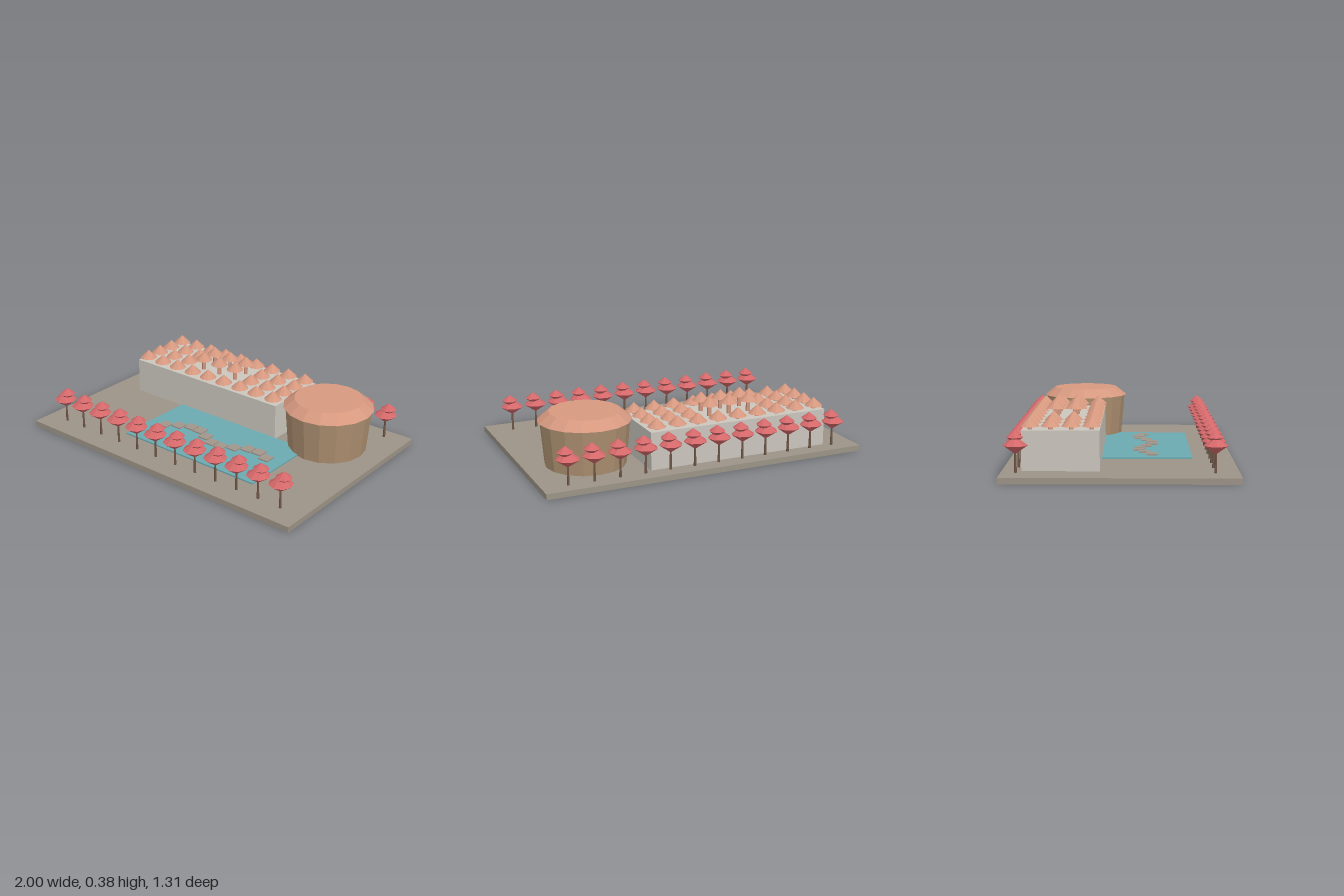
import * as THREE from 'three';

const flat = (name, color) => {
  const m = new THREE.MeshStandardMaterial({ color, flatShading: true });
  m.name = name;
  return m;
};

export function createModel() {
  const model = new THREE.Group();
  model.name = 'gardenPavilion';

  const paving = flat('paving', 0x9c9386);
  const water = flat('water', 0x6aa9b0);
  const stone = flat('stone', 0xa0958a);
  const concrete = flat('concrete', 0xcac6bd);
  const timber = flat('timber', 0xac8f70);
  const terracotta = flat('terracotta', 0xd6987f);
  const foliage = flat('foliage', 0xd4686a);
  const bark = flat('bark', 0x6e5546);

  const add = (parent, name, geometry, material, x, y, z) => {
    const mesh = new THREE.Mesh(geometry, material);
    mesh.name = name;
    mesh.position.set(x, y, z);
    parent.add(mesh);
    return mesh;
  };
  // Box given by its lower and upper limits
  const addBox = (parent, name, material, [x0, y0, z0], [x1, y1, z1]) =>
    add(parent, name, new THREE.BoxGeometry(x1 - x0, y1 - y0, z1 - z0), material,
      (x0 + x1) / 2, (y0 + y1) / 2, (z0 + z1) / 2);

  const ground = 0.034;
  const roofY = 0.26;

  // Site, pool and hall
  addBox(model, 'platform', paving, [-1, 0, -0.655], [1, ground, 0.655]);
  addBox(model, 'pool', water, [-0.42, ground - 0.005, -0.115], [0.575, 0.043, 0.418]);
  addBox(model, 'hall', concrete, [-0.805, ground - 0.005, -0.545], [0.34, roofY, -0.113]);

  // Winding stepping stones across the pool
  const stones = new THREE.Group();
  stones.name = 'steppingStones';
  model.add(stones);
  const stoneGeo = new THREE.BoxGeometry(0.068, 0.008, 0.068);
  for (let i = 0; i < 11; i++) {
    add(stones, 'steppingStone', stoneGeo, stone, -0.305 + i * 0.0765, 0.047, 0.147 - 0.045 * Math.cos(i - 2.4));
  }

  // Round tower: flared drum with a sloping, flat-topped roof
  const tower = new THREE.Group();
  tower.name = 'roundTower';
  tower.position.set(0.632, 0, -0.255);
  model.add(tower);
  add(tower, 'drum', new THREE.CylinderGeometry(0.263, 0.24, 0.266, 16), timber, 0, 0.167, 0);
  add(tower, 'towerRoof', new THREE.CylinderGeometry(0.21, 0.275, 0.052, 16), terracotta, 0, 0.326, 0);

  // Grid of parasols on the hall roof, with six taller ones in the middle
  const capGeo = new THREE.ConeGeometry(0.055, 0.053, 10);
  const parasols = new THREE.Group();
  parasols.name = 'roofParasols';
  model.add(parasols);
  for (let col = 0; col < 9; col++) {
    for (let row = 0; row < 4; row++) {
      const tall = col >= 3 && col <= 5 && (row === 1 || row === 2);
      const height = tall ? 0.07 : 0.02;
      const x = -0.754 + col * 0.13;
      const z = -0.5 + row * 0.114;
      const post = new THREE.CylinderGeometry(0.013, 0.013, height, 6);
      add(parasols, 'parasolPost', post, terracotta, x, roofY + height / 2, z);
      add(parasols, 'parasolCap', capGeo, terracotta, x, roofY + height + 0.0235, z);
    }
  }

  // Two rows of trees, each with a double faceted crown
  const trunkGeo = new THREE.CylinderGeometry(0.005, 0.008, 0.12, 6);
  const lowerGeo = new THREE.SphereGeometry(0.07, 8, 2).scale(1, 0.71, 1);
  const upperGeo = new THREE.SphereGeometry(0.048, 8, 2).scale(1, 0.77, 1);
  for (const z of [0.52, -0.572]) {
    for (let i = 0; i < 12; i++) {
      const tree = new THREE.Group();
      tree.name = 'tree';
      tree.position.set(-0.848 + i * 0.1541, ground, z);
      model.add(tree);
      add(tree, 'trunk', trunkGeo, bark, 0, 0.06, 0);
      add(tree, 'lowerCrown', lowerGeo, foliage, 0, 0.152, 0);
      add(tree, 'upperCrown', upperGeo, foliage, 0.015, 0.194, -0.004);
    }
  }

  return model;
}
